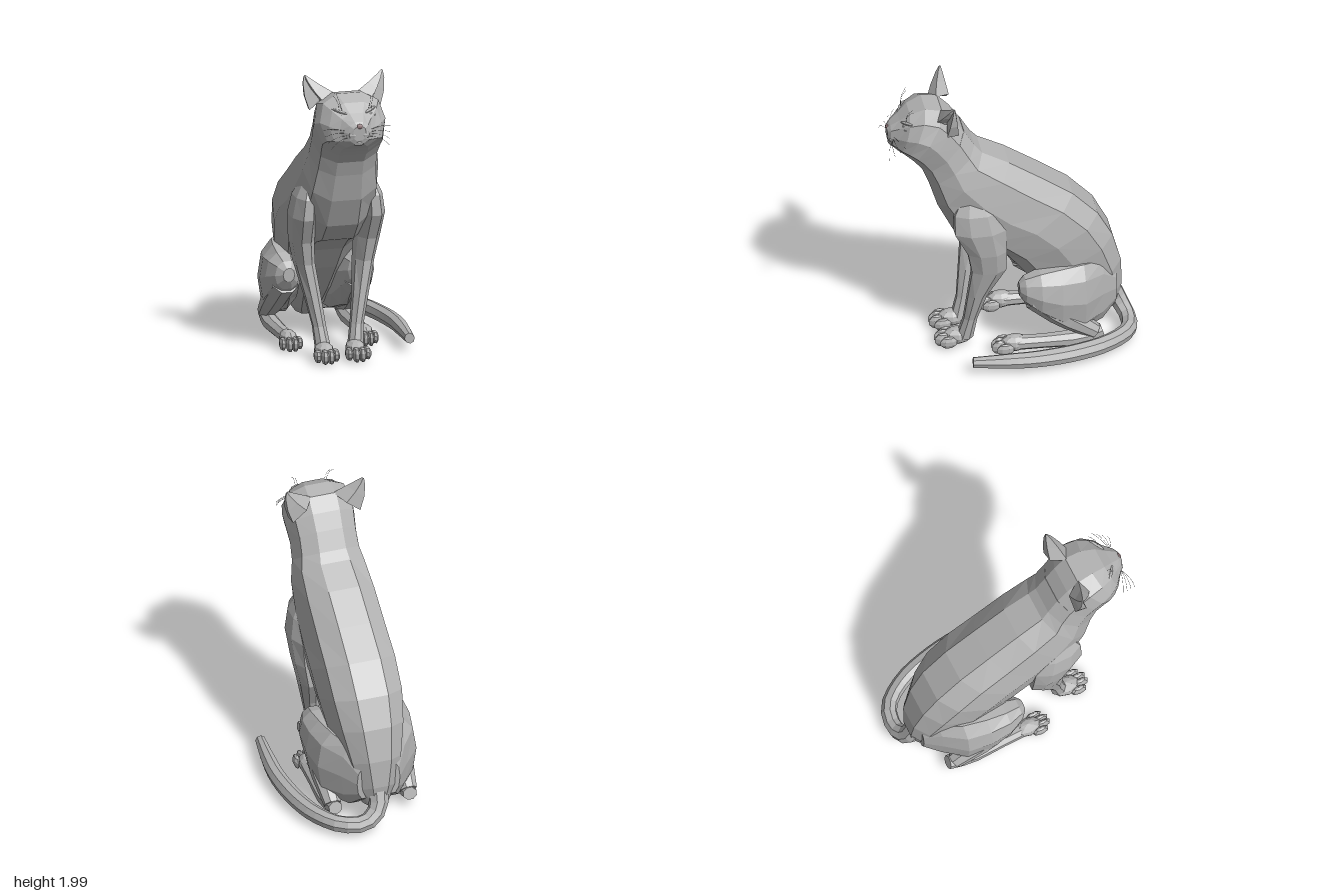
import * as THREE from 'three';

const mat = (name, color, flat = true) => {
  const m = new THREE.MeshStandardMaterial({ color, flatShading: flat });
  m.name = name;
  return m;
};

// Skin a list of closed rings (arrays of Vector3), capped at both ends and facing outwards.
function loft(rings) {
  const n = rings[0].length, pos = [], idx = [];
  rings.forEach(r => r.forEach(p => pos.push(p.x, p.y, p.z)));
  for (let i = 0; i < rings.length - 1; i++) {
    for (let j = 0; j < n; j++) {
      const a = i * n + j, b = i * n + (j + 1) % n;
      idx.push(a, b, b + n, a, b + n, a + n);
    }
  }
  [0, rings.length - 1].forEach((k, end) => {
    const c = new THREE.Vector3();
    rings[k].forEach(p => c.addScaledVector(p, 1 / n));
    const ci = pos.length / 3;
    pos.push(c.x, c.y, c.z);
    for (let j = 0; j < n; j++) {
      const a = k * n + j, b = k * n + (j + 1) % n;
      end ? idx.push(ci, a, b) : idx.push(ci, b, a);
    }
  });
  // Signed volume tells which way the corners run
  const v = i => new THREE.Vector3().fromArray(pos, idx[i] * 3);
  let volume = 0;
  for (let i = 0; i < idx.length; i += 3) volume += v(i).dot(v(i + 1).cross(v(i + 2)));
  if (volume < 0) idx.reverse();
  const g = new THREE.BufferGeometry();
  g.setAttribute('position', new THREE.Float32BufferAttribute(pos, 3));
  g.setIndex(idx);
  g.computeVertexNormals();
  return g;
}

// Rounded ring around a centre, spanned by two half-axes
function ring(c, u, w, n, power = 1) {
  const soft = t => Math.sign(t) * Math.abs(t) ** power;
  const fit = Math.cos(Math.PI / n) ** power;
  return Array.from({ length: n }, (_, i) => {
    const a = (i + 0.5) / n * Math.PI * 2;
    return c.clone().addScaledVector(u, soft(Math.cos(a)) / fit).addScaledVector(w, soft(Math.sin(a)));
  });
}
const V = (x, y, z) => new THREE.Vector3(x, y, z);

// Tapering tube along a curve
function taperTube(points, radii, steps, sides) {
  const curve = new THREE.CatmullRomCurve3(points);
  const frames = curve.computeFrenetFrames(steps);
  const rings = [];
  for (let i = 0; i <= steps; i++) {
    const t = i / steps, f = t * (radii.length - 1), k = Math.min(Math.floor(f), radii.length - 2);
    const r = THREE.MathUtils.lerp(radii[k], radii[k + 1], f - k);
    rings.push(ring(curve.getPointAt(t), frames.normals[i].clone().multiplyScalar(r),
      frames.binormals[i].clone().multiplyScalar(r), sides));
  }
  return loft(rings);
}

export function createModel() {
  const fur = mat('grey fur', 0xb4b4b4);
  const eyeMat = mat('dark eye', 0x6c6c6c, false);
  const noseMat = mat('nose', 0x8c7476);
  const whiskerMat = mat('whisker', 0x8a8a8a);

  const model = new THREE.Group();
  model.name = 'sittingCat';
  const cat = new THREE.Group();
  cat.name = 'cat';
  cat.position.x = -0.095;
  model.add(cat);

  const add = (name, geo, m = fur, parent = cat) => {
    const mesh = new THREE.Mesh(geo, m);
    mesh.name = name;
    parent.add(mesh);
    return mesh;
  };
  const blob = (name, p, s, m = fur, parent = cat, seg = [8, 6]) => {
    const mesh = add(name, new THREE.SphereGeometry(1, ...seg), m, parent);
    mesh.position.set(...p);
    mesh.scale.set(...s);
    return mesh;
  };

  // Torso, neck and head: [belly z, belly y, back z, back y, half width]
  const spine = rows => rows.map(([bz, by, tz, ty, w]) => ring(
    V(0, (by + ty) / 2, (bz + tz) / 2), V(0, (ty - by) / 2, (tz - bz) / 2), V(w, 0, 0), 10, 0.8));
  add('torso', loft(spine([
    [-0.5, 0.08, -0.75, 0.16, 0.08],
    [-0.43, 0.13, -0.77, 0.32, 0.14],
    [-0.28, 0.3, -0.76, 0.52, 0.2],
    [-0.12, 0.5, -0.7, 0.74, 0.25],
    [0, 0.66, -0.6, 0.93, 0.28],
    [0.12, 0.75, -0.43, 1.11, 0.285],
    [0.26, 0.8, -0.22, 1.26, 0.28],
    [0.38, 0.93, 0, 1.41, 0.275],
    [0.48, 1.13, 0.18, 1.51, 0.26],
    [0.54, 1.32, 0.23, 1.57, 0.235],
    [0.585, 1.43, 0.3, 1.69, 0.23],
  ])));
  add('head', loft(spine([
    [0.58, 1.42, 0.29, 1.67, 0.23],
    [0.635, 1.49, 0.37, 1.79, 0.24],
    [0.665, 1.52, 0.45, 1.875, 0.245],
    [0.7, 1.55, 0.56, 1.895, 0.225],
    [0.735, 1.57, 0.66, 1.855, 0.18],
    [0.765, 1.59, 0.725, 1.8, 0.12],
    [0.79, 1.605, 0.785, 1.755, 0.075],
    [0.8, 1.63, 0.808, 1.73, 0.045],
  ])));

  // Nose and chin
  blob('nose', [0, 1.727, 0.797], [0.026, 0.017, 0.018], noseMat);
  blob('chin', [0, 1.615, 0.768], [0.05, 0.028, 0.032]);

  // Tail curling round the model's left side
  add('tail', taperTube([
    V(0, 0.32, -0.68), V(0.02, 0.15, -0.76), V(0.12, 0.08, -0.8), V(0.27, 0.08, -0.77), V(0.39, 0.08, -0.62),
    V(0.465, 0.08, -0.4), V(0.505, 0.085, -0.12), V(0.5, 0.09, 0.1), V(0.482, 0.095, 0.31),
  ], [0.07, 0.055, 0.052, 0.055, 0.055, 0.05, 0.034], 22, 8));

  // Paw with four toes
  const paw = (name, x, z, w) => {
    const g = new THREE.Group();
    g.name = name;
    g.position.set(x, 0, z);
    cat.add(g);
    blob('pawPad', [0, 0.065, -0.02], [w * 0.8, 0.06, 0.1], fur, g);
    for (let i = 0; i < 4; i++) {
      const k = (i - 1.5) / 1.5, middle = Math.abs(k) < 0.5;
      blob('toe', [k * w * 0.73, 0.05, middle ? 0.08 : 0.05], [w * 0.3, middle ? 0.052 : 0.045, 0.06], fur, g, [7, 5]);
    }
  };

  for (const s of [1, -1]) {
    const side = s > 0 ? 'left' : 'right';

    // Front leg: [y, z, depth radius, x, width radius]
    add(side + 'FrontLeg', loft([
      [1.24, 0.25, 0.08, 0.2, 0.04],
      [1.12, 0.24, 0.15, 0.225, 0.075],
      [0.98, 0.22, 0.17, 0.235, 0.09],
      [0.8, 0.17, 0.13, 0.225, 0.083],
      [0.64, 0.155, 0.115, 0.205, 0.07],
      [0.42, 0.225, 0.066, 0.165, 0.057],
      [0.22, 0.265, 0.046, 0.13, 0.047],
      [0.06, 0.3, 0.055, 0.11, 0.055],
    ].map(([y, z, rz, x, rx]) => ring(V(s * x, y, z), V(0, 0, rz), V(rx, 0, 0), 8))));
    paw(side + 'FrontPaw', s * 0.108 - 0.01, 0.365, 0.085);

    // Thigh: [z, y, height radius, x, width radius]
    add(side + 'Thigh', loft([
      [-0.72, 0.34, 0.12, 0.1, 0.05],
      [-0.62, 0.36, 0.23, 0.14, 0.09],
      [-0.48, 0.37, 0.255, 0.2, 0.145],
      [-0.32, 0.4, 0.225, 0.235, 0.14],
      [-0.18, 0.45, 0.16, 0.25, 0.125],
      [-0.08, 0.48, 0.095, 0.25, 0.085],
      [-0.04, 0.49, 0.045, 0.25, 0.04],
    ].map(([z, y, ry, x, rx]) => ring(V(s * x, y, z), V(0, ry, 0), V(rx, 0, 0), 10, 0.9))));

    // Shank folded back to the hock, and the long hind foot
    add(side + 'Shank', taperTube([V(s * 0.25, 0.42, -0.14), V(s * 0.265, 0.26, -0.33), V(s * 0.265, 0.1, -0.55)],
      [0.09, 0.085, 0.055], 5, 8));
    add(side + 'HindFoot', taperTube([V(s * 0.26, 0.1, -0.6), V(s * 0.265, 0.065, -0.48), V(s * 0.265, 0.06, -0.25),
      V(s * 0.26, 0.065, 0)], [0.045, 0.055, 0.048, 0.05], 6, 8));
    paw(side + 'HindPaw', s * 0.26 - 0.005, 0.01, 0.078);

    // Ear: outer edge, back, inner edge, then the hollow front
    const tip = V(s * 0.268, 2, 0.395);
    const base = [[0.245, 1.76, 0.44], [0.235, 1.76, 0.36], [0.14, 1.84, 0.36], [0.075, 1.87, 0.46],
      [0.15, 1.81, 0.51], [0.175, 1.83, 0.43]].map(([x, y, z]) => V(s * x, y, z));
    const bulge = V(s * 0.022, 0.01, 0);
    add(side + 'Ear', loft([0, 0.35, 0.7, 0.92].map(t => base.map(p =>
      p.clone().lerp(tip, t).addScaledVector(bulge, 4 * t * (1 - t))))));

    // Eye, brow and muzzle pad
    const eye = blob(side + 'Eye', [s * 0.106, 1.765, 0.7], [0.054, 0.034, 0.02], eyeMat, cat, [14, 8]);
    eye.rotation.set(-0.3, s * 0.5, s * 0.12, 'YXZ');
    const brow = blob(side + 'Brow', [s * 0.102, 1.806, 0.688], [0.062, 0.011, 0.018]);
    brow.rotation.set(-0.3, s * 0.5, s * 0.25, 'YXZ');
    blob(side + 'MuzzlePad', [s * 0.036, 1.668, 0.772], [0.046, 0.036, 0.035]);

    // Whiskers on the muzzle and above the eye
    const hair = (a, b, c) => add(side + 'Whisker',
      new THREE.TubeGeometry(new THREE.QuadraticBezierCurve3(a, b, c), 5, 0.0012, 3), whiskerMat);
    for (let i = 0; i < 4; i++) {
      hair(V(s * 0.06, 1.65 + i * 0.012, 0.775), V(s * 0.15, 1.66 + i * 0.02, 0.82 - i * 0.02),
        V(s * (0.2 + i * 0.012), 1.59 + i * 0.035, 0.82 - i * 0.035));
    }
    for (let i = 0; i < 2; i++) {
      hair(V(s * (0.09 + i * 0.02), 1.81, 0.69), V(s * 0.11, 1.88, 0.7), V(s * (0.12 + i * 0.03), 1.92, 0.65));
    }
  }
  return model;
}
